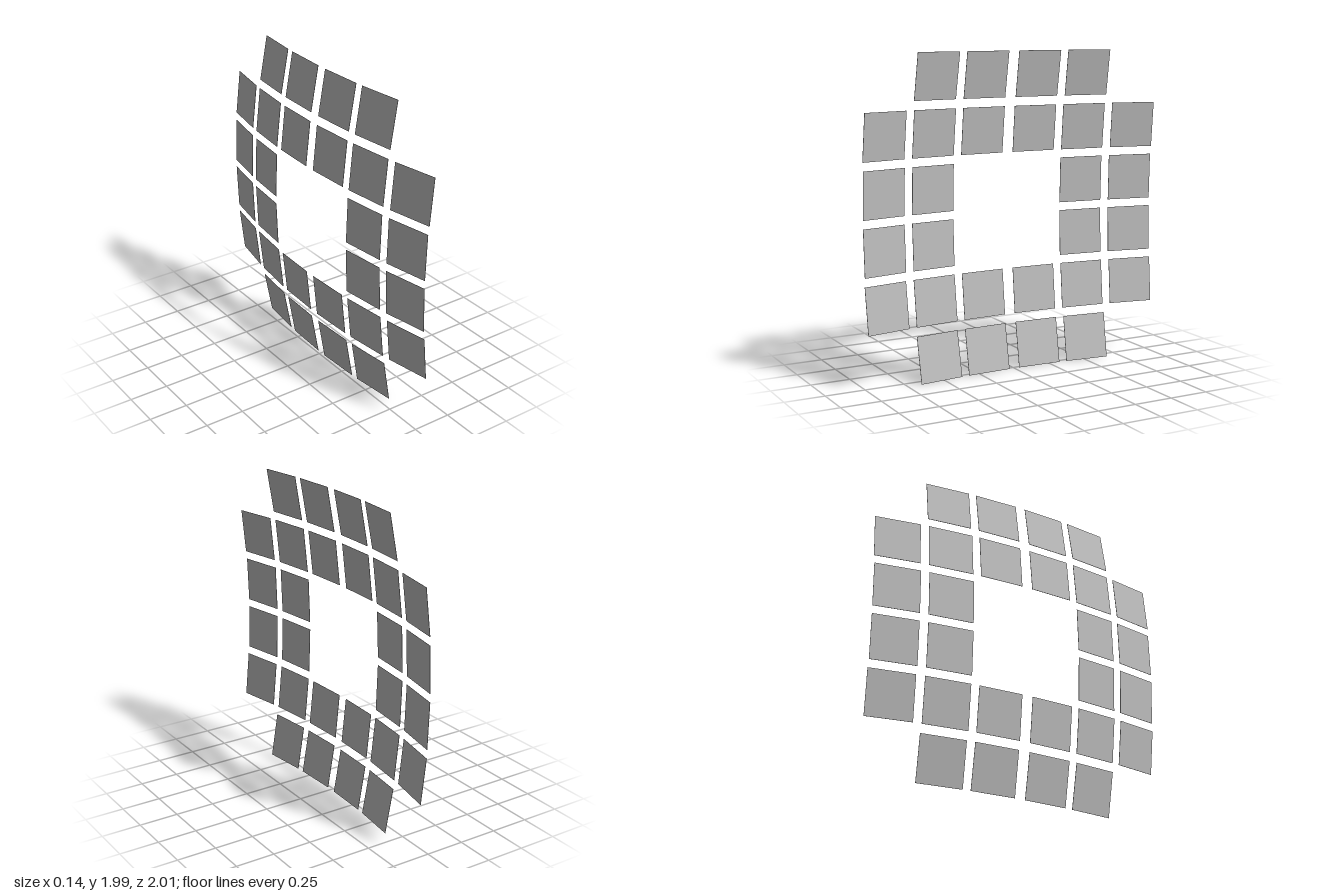
import * as THREE from 'three';

// Curved segmented dish: a 6 x 6 grid of flat square tiles on a shallow bowl opening towards +x,
// with the four corner tiles and the central 2 x 2 block left out.
export function createModel() {
  const model = new THREE.Group();
  model.name = 'segmentedMirror';

  const tileMaterial = new THREE.MeshStandardMaterial({ color: 0xc0c0c0 });
  tileMaterial.name = 'tile grey';

  const SIZE = 0.289;
  const THICKNESS = 0.002;
  const CURVE = 0.105; // x = CURVE * r^2 + BASE
  const BASE = -0.082;
  const MID_Y = 0.994;
  const rows = [0.17, 0.51, 0.851];
  const columns = [0.18, 0.52, 0.859];
  const tileGeometry = new THREE.BoxGeometry(THICKNESS, SIZE, SIZE);

  for (let i = 0; i < 3; i++) {
    for (let j = 0; j < 3; j++) {
      const corner = i === 2 && j === 2;
      const opening = i === 0 && j === 0;
      if (corner || opening) continue;

      // Mirror each tile into the four quadrants
      for (const sy of [1, -1]) {
        for (const sz of [1, -1]) {
          const y = sy * rows[i];
          const z = sz * columns[j];
          const tile = new THREE.Mesh(tileGeometry, tileMaterial);
          tile.name = `tile ${sy > 0 ? 'upper' : 'lower'} ${sz > 0 ? 'front' : 'back'} ${i + 1}-${j + 1}`;
          tile.position.set(CURVE * (y * y + z * z) + BASE, MID_Y + y, z);
          // Lean each tile along the slope of the bowl
          tile.rotation.set(0, Math.atan(2 * CURVE * z), -Math.atan(2 * CURVE * y));
          model.add(tile);
        }
      }
    }
  }
  return model;
}
